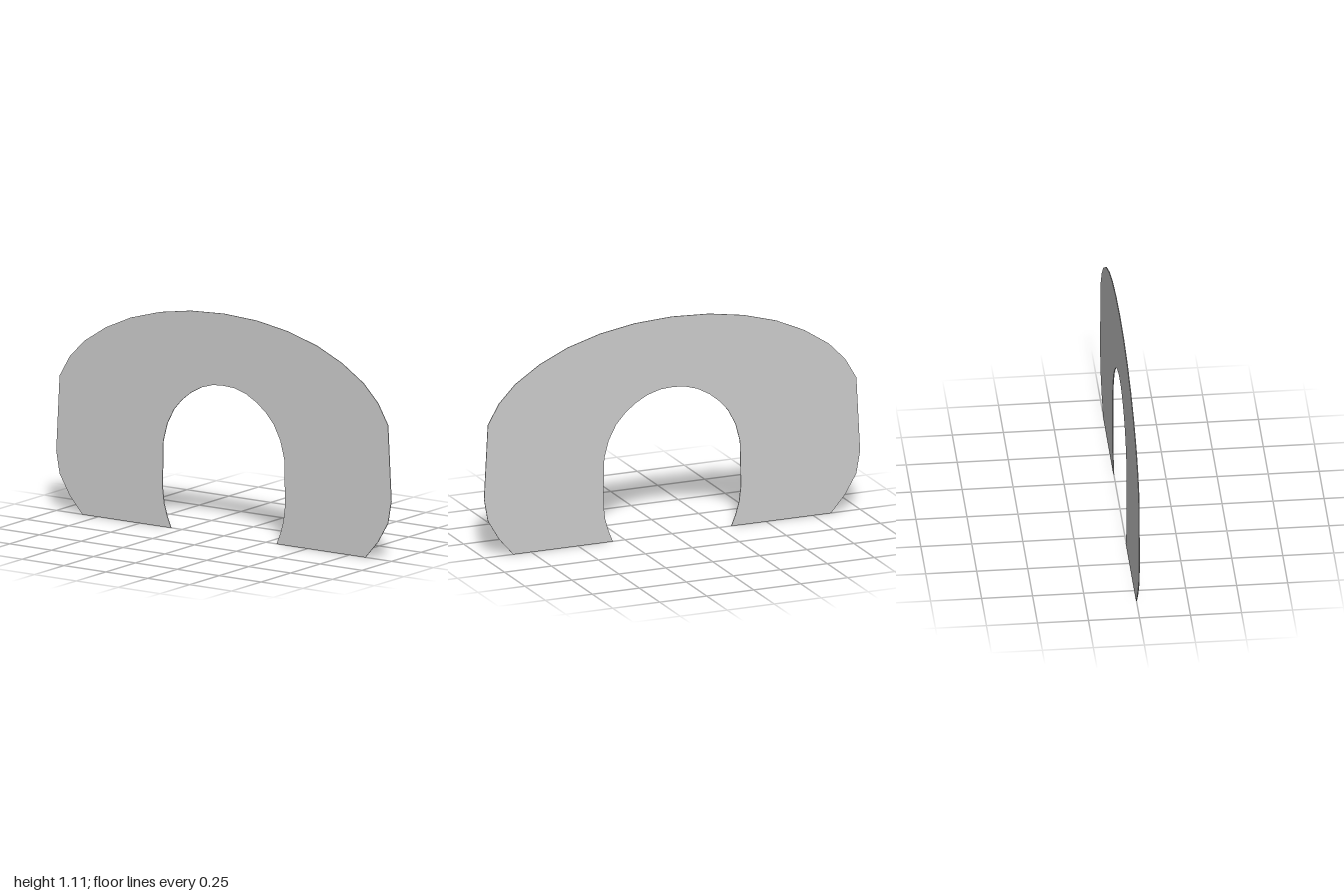
import * as THREE from 'three';

// Right half of each outline, from the base up to the crown on x = 0
const OUTER = [[0.845, 0], [0.92, 0.086], [0.98, 0.187], [1, 0.3], [0.98, 0.677], [0.92, 0.78],
  [0.834, 0.868], [0.704, 0.953], [0.556, 1.02], [0.382, 1.07], [0.198, 1.1], [0, 1.11]];
const INNER = [[0.315, 0], [0.337, 0.053], [0.356, 0.118], [0.366, 0.2], [0.361, 0.43], [0.337, 0.52],
  [0.297, 0.596], [0.251, 0.647], [0.198, 0.69], [0.134, 0.725], [0.064, 0.746], [0, 0.75]];
const THICKNESS = 0.004;

// Mirror a half outline into a full arch running from +x to -x
function mirrorArch(half) {
  const right = half.map(([x, y]) => new THREE.Vector2(x, y));
  const left = half.slice(0, -1).reverse().map(([x, y]) => new THREE.Vector2(-x, y));
  return [...right, ...left];
}

export function createModel() {
  const group = new THREE.Group();
  group.name = 'archPlate';

  // Thin flat arch: outer edge one way, opening edge back
  const shape = new THREE.Shape([...mirrorArch(OUTER), ...mirrorArch(INNER).reverse()]);
  const geometry = new THREE.ExtrudeGeometry(shape, { depth: THICKNESS, bevelEnabled: false });
  geometry.translate(0, 0, -THICKNESS / 2);

  const material = new THREE.MeshStandardMaterial({ color: 0xcccccc, flatShading: true });
  const plate = new THREE.Mesh(geometry, material);
  plate.name = 'plate';
  group.add(plate);
  return group;
}
